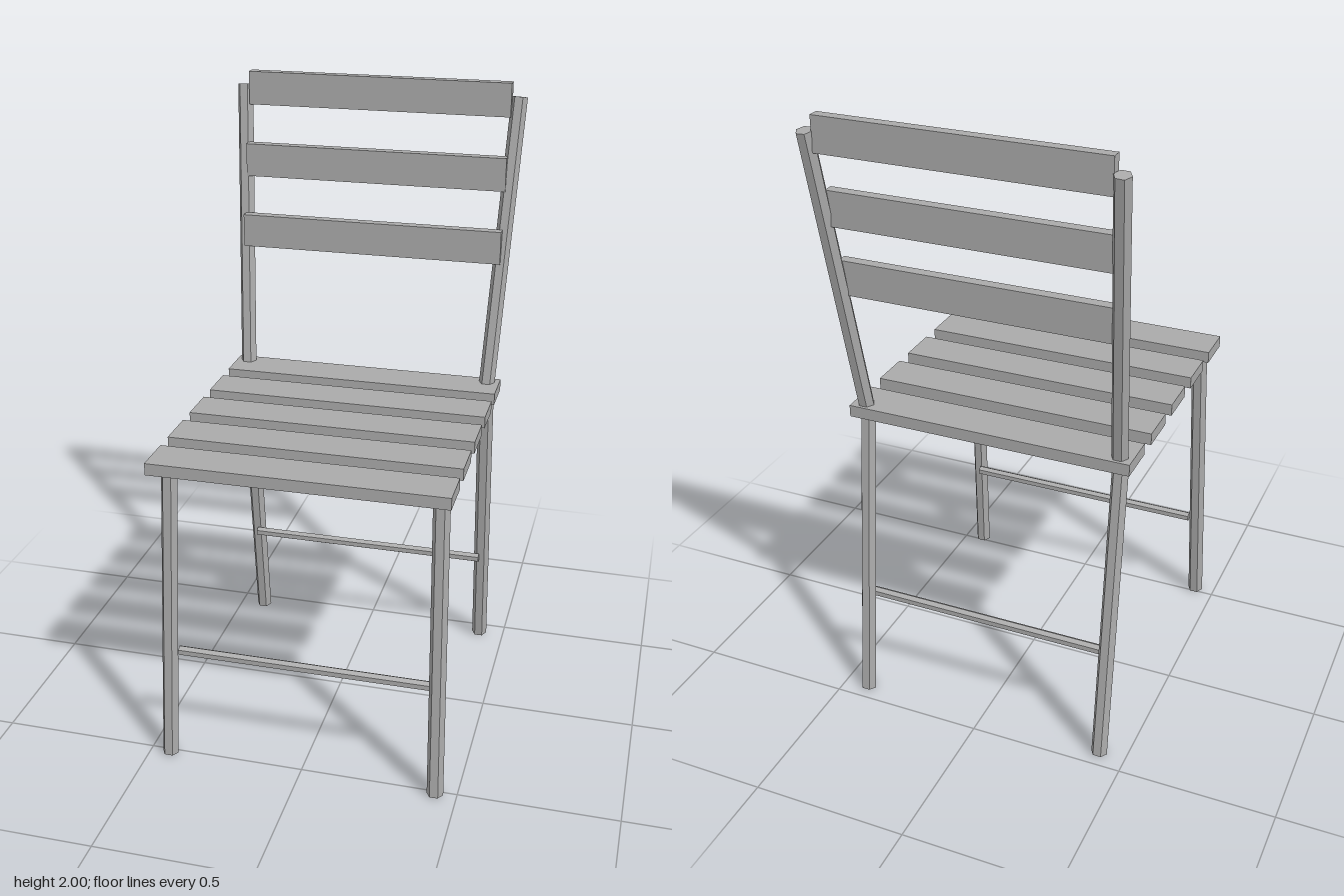
import * as THREE from 'three';

export function createModel() {
  const chair = new THREE.Group();
  chair.name = 'slattedChair';
  const grey = new THREE.MeshStandardMaterial({ color: 0xaaaaaa });
  grey.name = 'grey';
  grey.flatShading = true;

  const add = (name, geometry) => {
    const mesh = new THREE.Mesh(geometry, grey);
    mesh.name = name;
    chair.add(mesh);
    return mesh;
  };
  const slat = (name, w, h, d, y, z) =>
    add(name, new THREE.BoxGeometry(w, h, d)).position.set(0, y, z);

  // Straight six-sided rod between two points
  const rod = (name, from, to, radius) => {
    const a = new THREE.Vector3(...from), b = new THREE.Vector3(...to);
    const dir = b.clone().sub(a);
    const mesh = add(name, new THREE.CylinderGeometry(radius, radius, dir.length(), 6, 1, false, Math.PI / 6));
    mesh.position.copy(a).add(b).multiplyScalar(0.5);
    mesh.quaternion.setFromUnitVectors(new THREE.Vector3(0, 1, 0), dir.normalize());
  };

  // Seat: five evenly spaced slats
  for (let i = 0; i < 5; i++) slat('seatSlat', 0.914, 0.038, 0.134, 1.018, 0.47 - i * 0.195);

  // Backrest: three upright slats stepping backwards
  for (let i = 0; i < 3; i++) slat('backSlat', 0.87, 0.108, 0.034, 1.487 + i * 0.2295, -0.402 - i * 0.0475);

  // Splayed legs and leaning back posts, mirrored
  for (const [side, s] of [['left', 1], ['right', -1]]) {
    rod(side + 'FrontLeg', [s * 0.433, 0.003, 0.516], [s * 0.414, 1.01, 0.447], 0.026);
    rod(side + 'RearLeg', [s * 0.414, 0.003, -0.446], [s * 0.416, 1.01, -0.334], 0.026);
    rod(side + 'BackPost', [s * 0.415, 1.02, -0.341], [s * 0.457, 1.953, -0.512], 0.026);
  }

  // Crossbars between the legs
  rod('frontCrossbar', [-0.41, 0.35, 0.452], [0.41, 0.35, 0.452], 0.016);
  rod('rearCrossbar', [-0.41, 0.35, -0.375], [0.41, 0.35, -0.375], 0.016);

  return chair;
}
